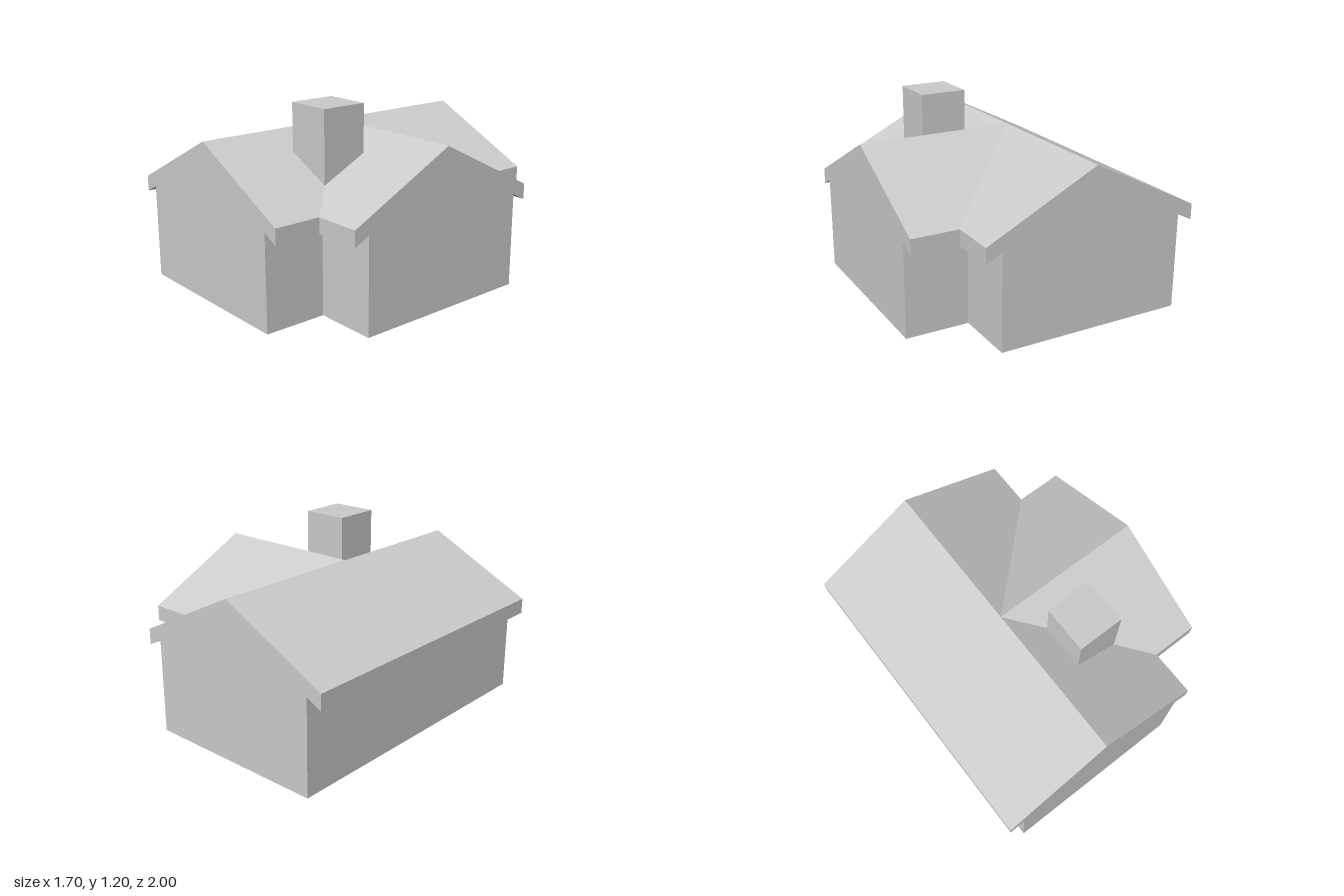
import * as THREE from 'three';

const RIDGE_X = -0.15; // main ridge line; the wing ridge runs along z = 0

// Half sections (distance from ridge, height), running clockwise from ridge to floor
const ROOF = [[0, 1], [0.7, 0.65], [0.7, 0.55], [0.6, 0.6]];
const WALL = [[0.6, 0.6], [0.6, 0], [0, 0]];

// Sweep a half section out to a gable end at 1. Mitred sweeps start at a distance
// equal to the distance from the ridge, so neighbouring arms meet in a valley.
function sweepHalf(section, mitred, place) {
  const tris = [];
  const start = ([r, y]) => [r, y, mitred ? r : 0];
  const end = ([r, y]) => [r, y, 1];

  for (let i = 0; i < section.length - 1; i++) {
    const p = section[i], q = section[i + 1];
    tris.push([start(p), end(p), end(q)], [start(p), end(q), start(q)]);
  }

  // Gable cap, fanned from the corner where wall and soffit meet
  const cap = [...section, [0, 0.6]];
  const k = cap.findIndex(([r, y]) => r === 0.6 && y === 0.6);
  const fan = [...cap.slice(k), ...cap.slice(0, k)];
  for (let i = 1; i < fan.length - 1; i++) {
    tris.push([end(fan[0]), end(fan[i + 1]), end(fan[i])]);
  }

  // Keep faces outward when the placement mirrors the half
  const [X, Y, Z, O] = [[1, 0, 0], [0, 1, 0], [0, 0, 1], [0, 0, 0]]
    .map((v) => new THREE.Vector3(...place(...v)));
  [X, Y, Z].forEach((v) => v.sub(O));
  const mirrored = X.cross(Y).dot(Z) < 0;

  const positions = [];
  for (const [a, b, c] of tris) {
    for (const v of mirrored ? [a, c, b] : [a, b, c]) positions.push(...place(...v));
  }
  const geometry = new THREE.BufferGeometry();
  geometry.setAttribute('position', new THREE.Float32BufferAttribute(positions, 3));
  geometry.computeVertexNormals();
  return geometry;
}

export function createModel() {
  const house = new THREE.Group();
  house.name = 'house';
  const material = new THREE.MeshStandardMaterial({ color: 0xcccccc, flatShading: true });

  const addHalf = (name, mitred, place) => {
    const half = new THREE.Group();
    half.name = name;
    for (const [part, section] of [['roof', ROOF], ['walls', WALL]]) {
      const mesh = new THREE.Mesh(sweepHalf(section, mitred, place), material);
      mesh.name = part;
      half.add(mesh);
    }
    house.add(half);
  };

  // Main block and cross wing, mirrored front to back
  for (const [side, s] of [['front', 1], ['back', -1]]) {
    addHalf(`${side}MainOuterHalf`, false, (r, y, a) => [RIDGE_X - r, y, s * a]);
    addHalf(`${side}MainInnerHalf`, true, (r, y, a) => [RIDGE_X + r, y, s * a]);
    addHalf(`${side}WingHalf`, true, (r, y, a) => [RIDGE_X + a, y, s * r]);
  }

  // Chimney standing in the front valley
  const chimney = new THREE.Mesh(new THREE.BoxGeometry(0.3, 0.5, 0.3), material);
  chimney.name = 'chimney';
  chimney.position.set(0.2, 0.95, 0.35);
  house.add(chimney);

  return house;
}
